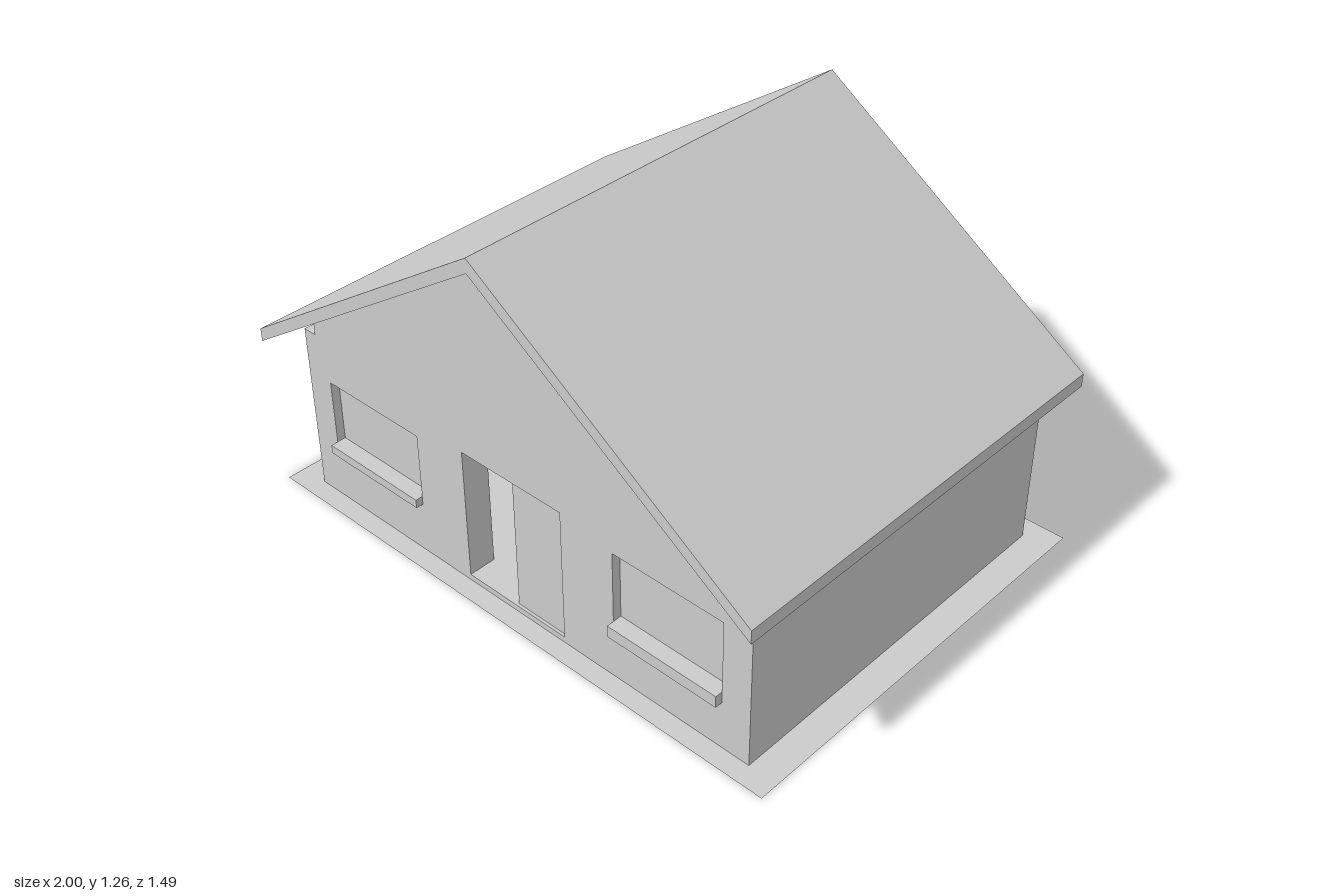
import * as THREE from 'three';

const mat = new THREE.MeshStandardMaterial({ color: 0xcccccc, side: THREE.DoubleSide });
const W = 0.9, FRONT = 0.645, BACK = -0.655, H = 0.59, FLOOR = 0.02;

function rectPath(x0, y0, x1, y1, Type = THREE.Path) {
  const p = new Type();
  p.moveTo(x0, y0); p.lineTo(x1, y0); p.lineTo(x1, y1); p.lineTo(x0, y1); p.closePath();
  return p;
}

// Flat rectangle with optional rectangular openings, drawn in the XY plane
function sheet(x0, y0, x1, y1, holes = []) {
  const s = rectPath(x0, y0, x1, y1, THREE.Shape);
  holes.forEach(h => s.holes.push(rectPath(...h)));
  return new THREE.ShapeGeometry(s);
}

function add(parent, name, geometry, x = 0, y = 0, z = 0) {
  const m = new THREE.Mesh(geometry, mat);
  m.name = name;
  m.position.set(x, y, z);
  parent.add(m);
  return m;
}

// Horizontal sheet facing up, given x and z limits
function slab(parent, name, x0, z0, x1, z1, y, holes = []) {
  const flip = holes.map(h => [h[0], -h[3], h[2], -h[1]]);
  return add(parent, name, sheet(x0, -z1, x1, -z0, flip).rotateX(-Math.PI / 2), 0, y, 0);
}

// Vertical sheets: facing +z / -z, and facing +x / -x
function wallZ(parent, name, x0, x1, z, dir, holes = []) {
  const g = dir > 0 ? sheet(x0, 0, x1, H, holes)
    : sheet(-x1, 0, -x0, H, holes.map(h => [-h[2], h[1], -h[0], h[3]])).rotateY(Math.PI);
  return add(parent, name, g, 0, 0, z);
}
function wallX(parent, name, z0, z1, x, dir) {
  const g = dir > 0 ? sheet(-z1, 0, -z0, H) : sheet(z0, 0, z1, H);
  return add(parent, name, g.rotateY(dir * Math.PI / 2), x, 0, 0);
}

// Four-sided lining of an opening that runs back from the front wall
function reveal(parent, name, [x0, y0, x1, y1], depth) {
  const s = rectPath(x0, y0, x1, y1, THREE.Shape).getPoints();
  const pos = [], idx = [];
  s.slice(0, 4).forEach((a, i) => {
    const b = s[(i + 1) % 4], n = pos.length / 3;
    pos.push(a.x, a.y, 0, b.x, b.y, 0, b.x, b.y, -depth, a.x, a.y, -depth);
    idx.push(n, n + 1, n + 2, n, n + 2, n + 3);
  });
  const g = new THREE.BufferGeometry();
  g.setAttribute('position', new THREE.Float32BufferAttribute(pos, 3));
  g.setIndex(idx);
  g.computeVertexNormals();
  return add(parent, name, g, 0, 0, FRONT);
}

export function createModel() {
  const house = new THREE.Group();
  house.name = 'house';

  // Ground apron around the house
  slab(house, 'ground', -1, -0.73, 1, 0.71, 0, [[-W, BACK, W, FRONT]]);

  // Outer wall skin with door and window openings
  const door = [-0.2, FLOOR, 0.2, 0.48];
  const windows = [
    { name: 'rightWindow', rect: [-0.8, 0.18, -0.4, 0.435], sill: 0.03 },
    { name: 'leftWindow', rect: [0.4, 0.165, 0.8, 0.45], sill: 0.04 },
  ];
  const walls = new THREE.Group();
  walls.name = 'walls';
  house.add(walls);
  wallZ(walls, 'frontWall', -W, W, FRONT, 1, [door, ...windows.map(w => w.rect)]);
  wallZ(walls, 'backWall', -W, W, BACK, -1);
  wallX(walls, 'leftWall', BACK, FRONT, W, 1);
  wallX(walls, 'rightWall', BACK, FRONT, -W, -1);
  slab(walls, 'wallTop', -W, BACK, W, FRONT, H);

  // Rooms: floor and inner wall skins; the two right rooms share a doorway
  const inner = [-0.75, FLOOR, -0.5, 0.46];
  const rooms = [
    { name: 'leftRoom', x0: 0.4, x1: 0.8, z0: -0.58, z1: 0.55, back: [], front: [] },
    { name: 'backRoom', x0: -0.8, x1: 0.3, z0: -0.58, z1: -0.22, back: [], front: [inner] },
    { name: 'frontRoom', x0: -0.8, x1: 0.3, z0: -0.15, z1: 0.55, back: [inner], front: [door] },
  ];
  for (const r of rooms) {
    const g = new THREE.Group();
    g.name = r.name;
    house.add(g);
    slab(g, 'floor', r.x0, r.z0, r.x1, r.z1, FLOOR);
    wallZ(g, 'roomBack', r.x0, r.x1, r.z0, 1, r.back);
    wallZ(g, 'roomFront', r.x0, r.x1, r.z1, -1, r.front);
    wallX(g, 'roomRight', r.z0, r.z1, r.x0, 1);
    wallX(g, 'roomLeft', r.z0, r.z1, r.x1, -1);
  }

  // Windows: shallow reveal, pane and projecting sill
  for (const { name, rect, sill } of windows) {
    const [x0, y0, x1, y1] = rect;
    const g = new THREE.Group();
    g.name = name;
    house.add(g);
    reveal(g, 'windowReveal', rect, 0.03);
    add(g, 'pane', sheet(x0, y0, x1, y1), 0, 0, FRONT - 0.03);
    add(g, 'sill', new THREE.BoxGeometry(x1 - x0, sill, 0.055), (x0 + x1) / 2, y0 + sill / 2, FRONT - 0.0025);
  }

  // Doorway: its right half open, the other half closed by a leaf
  reveal(house, 'doorReveal', door, 0.095);
  add(house, 'doorLeaf', new THREE.BoxGeometry(0.2, 0.46, 0.02), 0.1, 0.25, FRONT - 0.02);

  // Gable block under the roof
  const cx = -0.005;
  const gable = new THREE.Shape([[-0.845, H], [0.845, H], [0.845, 0.645], [0, 1.21], [-0.845, 0.645]]
    .map(p => new THREE.Vector2(...p)));
  add(house, 'gable', new THREE.ExtrudeGeometry(gable, { depth: FRONT - BACK, bevelEnabled: false }), cx, 0, BACK);

  // Pitched roof with overhanging eaves
  const roof = new THREE.Shape([[-0.98, 0.555], [0, 1.21], [0.98, 0.555], [0.98, 0.6], [0, 1.257], [-0.98, 0.6]]
    .map(p => new THREE.Vector2(...p)));
  add(house, 'roof', new THREE.ExtrudeGeometry(roof, { depth: 1.49, bevelEnabled: false }), cx, 0, -0.745);

  return house;
}
